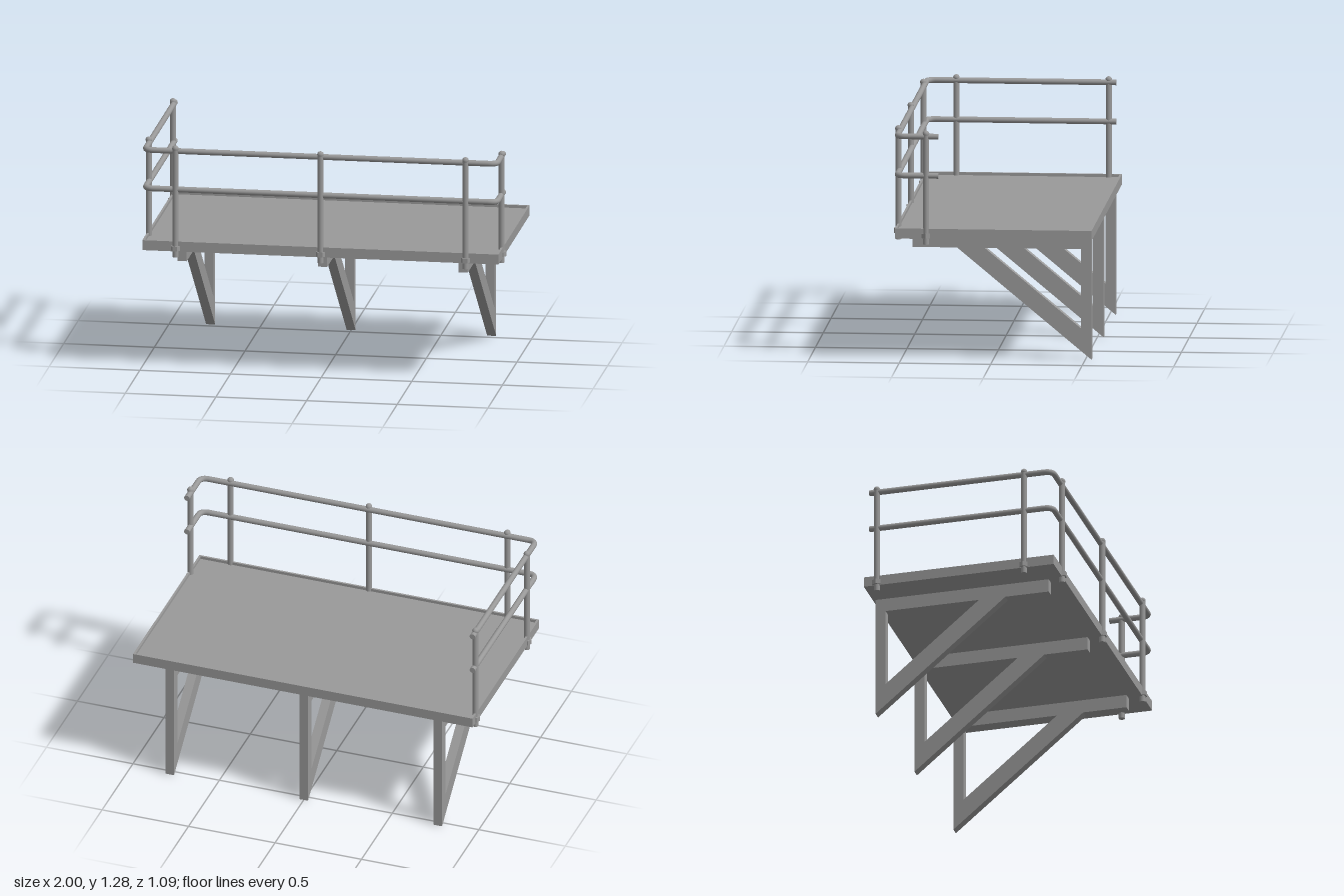
import * as THREE from 'three';

export function createModel() {
  const model = new THREE.Group();
  const steel = new THREE.MeshStandardMaterial({ color: 0x999999 });
  steel.name = 'steel grey';

  const add = (name, geometry, x = 0, y = 0, z = 0, parent = model) => {
    const mesh = new THREE.Mesh(geometry, steel);
    mesh.name = name;
    mesh.position.set(x, y, z);
    parent.add(mesh);
    return mesh;
  };

  // Deck: a flat plate inside a thin raised rim
  const halfX = 0.982, back = -0.55, front = 0.525, rim = 0.012;
  const bottom = 0.684, top = 0.74, floor = 0.724;
  const depth = front - back, midZ = (front + back) / 2;
  add('deckPlate', new THREE.BoxGeometry(2 * (halfX - rim), floor - bottom, depth - 2 * rim),
    0, (floor + bottom) / 2, midZ);
  const midY = (top + bottom) / 2, rimH = top - bottom;
  for (const s of [-1, 1]) {
    add('deckSideRim', new THREE.BoxGeometry(rim, rimH, depth), s * (halfX - rim / 2), midY, midZ);
    add('deckLongRim', new THREE.BoxGeometry(2 * (halfX - rim), rimH, rim),
      0, midY, midZ + s * (depth - rim) / 2);
  }

  // Triangular support brackets, drawn in (z, y) and extruded along x
  const outline = [[0.445, bottom], [0.445, 0.61], [0.2, 0.61], [-0.535, 0], [-0.535, bottom]];
  const opening = [[0.05, 0.61], [-0.478, 0.61], [-0.478, 0.172]];
  const toPoints = (list) => list.map(([z, y]) => new THREE.Vector2(-z, y));
  const profile = new THREE.Shape(toPoints(outline));
  profile.holes.push(new THREE.Path(toPoints(opening)));
  const bracket = new THREE.ExtrudeGeometry(profile, { depth: 0.05, bevelEnabled: false });
  bracket.translate(0, 0, -0.025);
  bracket.rotateY(Math.PI / 2);
  for (const x of [-0.775, 0, 0.775]) add('supportBracket', bracket, x);

  // Railing posts with a domed top and a nut at the deck edge
  const postR = 0.0165, postBottom = 0.653, postTop = 1.262;
  const postGeo = new THREE.CylinderGeometry(postR, postR, postTop - postBottom, 20);
  const domeGeo = new THREE.SphereGeometry(0.018, 20, 12);
  const nutGeo = new THREE.CylinderGeometry(0.027, 0.027, 0.027, 6).toNonIndexed();
  nutGeo.computeVertexNormals();
  const sideX = 0.973, frontZ = 0.521;
  const posts = [
    [-0.8, frontZ], [0, frontZ], [0.8, frontZ],
    [-sideX, 0.355], [-sideX, -0.478], [sideX, 0.355],
  ];
  for (const [x, z] of posts) {
    const post = new THREE.Group();
    post.name = 'railingPost';
    post.position.set(x, 0, z);
    add('postTube', postGeo, 0, (postTop + postBottom) / 2, 0, post);
    add('postDome', domeGeo, 0, postTop, 0, post);
    const nut = add('postNut', nutGeo, 0, 0.702, 0, post);
    // Vertices point along the deck edge for front posts, outward for side posts
    nut.rotation.y = Math.PI / 2;
    model.add(post);
  }

  // Rails: left side, across the front, short return on the right side
  const railR = 0.016, bend = 0.045, railX = 0.97, railZ = 0.514;
  const v = (x, z) => new THREE.Vector3(x, 0, z);
  const path = new THREE.CurvePath();
  path.add(new THREE.LineCurve3(v(-railX, -0.52), v(-railX, railZ - bend)));
  path.add(new THREE.QuadraticBezierCurve3(v(-railX, railZ - bend), v(-railX, railZ), v(-railX + bend, railZ)));
  path.add(new THREE.LineCurve3(v(-railX + bend, railZ), v(railX - bend, railZ)));
  path.add(new THREE.QuadraticBezierCurve3(v(railX - bend, railZ), v(railX, railZ), v(railX, railZ - bend)));
  path.add(new THREE.LineCurve3(v(railX, railZ - bend), v(railX, 0.288)));
  const railGeo = new THREE.TubeGeometry(path, 260, railR, 16, false);
  const capGeo = new THREE.CircleGeometry(railR, 16);
  for (const [name, y] of [['topRail', 1.247], ['middleRail', 1.031]]) {
    add(name, railGeo, 0, y, 0);
    add(name + 'LeftCap', capGeo, -railX, y, -0.52).rotation.y = Math.PI;
    add(name + 'RightCap', capGeo, railX, y, 0.288).rotation.y = Math.PI;
  }

  return model;
}
